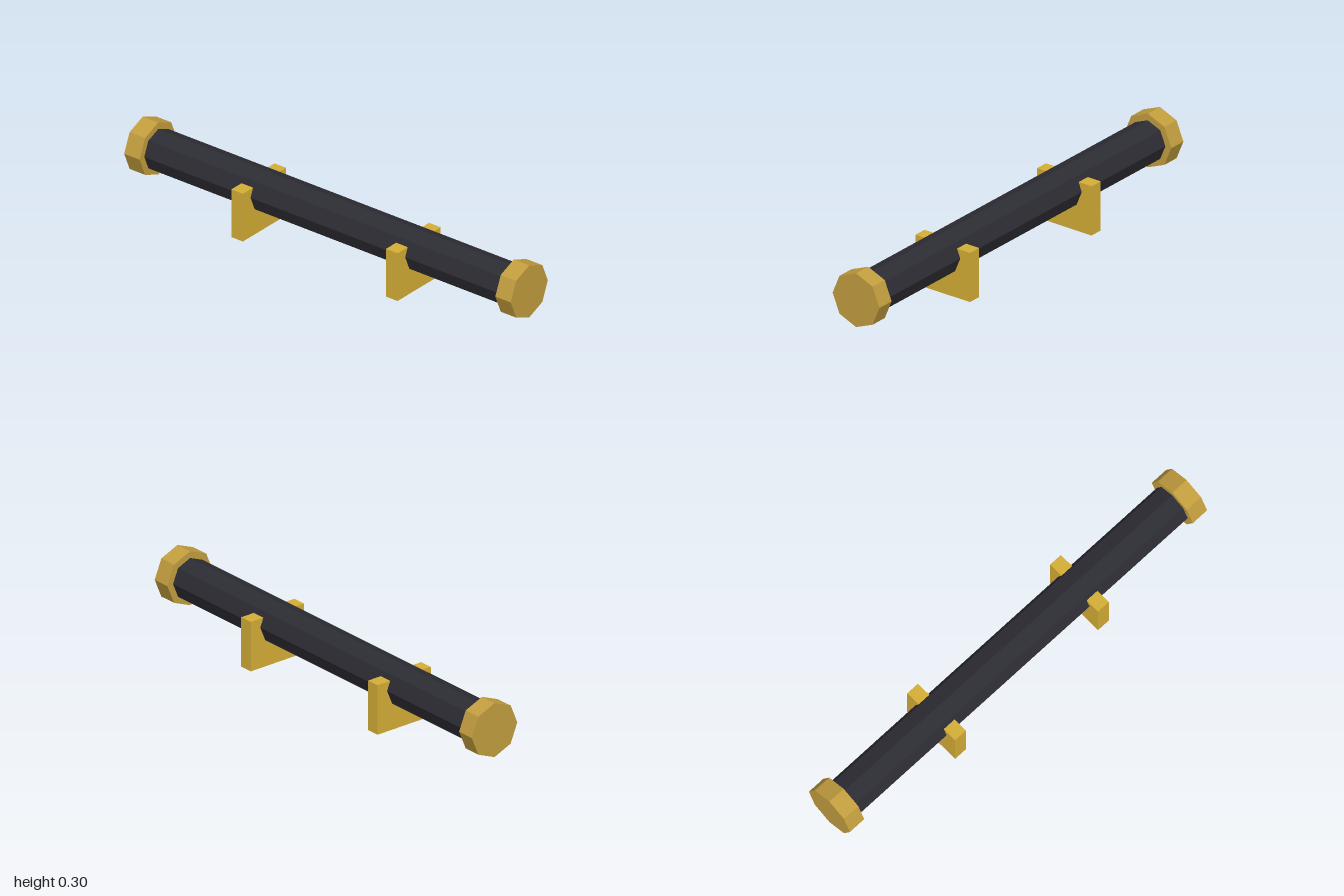
import * as THREE from 'three';

const AXIS_Y = 0.18; // height of the tube's centre line

export function createModel() {
  const material = (name, color) => {
    const m = new THREE.MeshStandardMaterial({ color, flatShading: true });
    m.name = name;
    return m;
  };
  const darkMetal = material('dark metal', 0x2c2c33);
  const brass = material('brass', 0xc29d3e);
  const gold = material('gold', 0xd4ad36);

  const model = new THREE.Group();
  model.name = 'tubeOnStands';

  const add = (name, geometry, mat, y, z) => {
    const mesh = new THREE.Mesh(geometry, mat);
    mesh.name = name;
    mesh.position.set(0, y, z);
    model.add(mesh);
  };

  // Eight-sided prism lying along z, with a corner pointing straight up
  const prism = (radius, length) =>
    new THREE.CylinderGeometry(radius, radius, length, 8).rotateX(Math.PI / 2);

  // Long dark tube
  add('tube', prism(0.09, 1.88), darkMetal, AXIS_Y, 0);

  // End caps and stands, mirrored front to back
  for (const [side, s] of [['front', 1], ['back', -1]]) {
    add(side + 'Cap', prism(0.12, 0.08), brass, AXIS_Y, s * 0.96);
    add(side + 'Stand', new THREE.BoxGeometry(0.28, 0.22, 0.06), gold, 0.11, s * 0.4);
  }

  return model;
}
